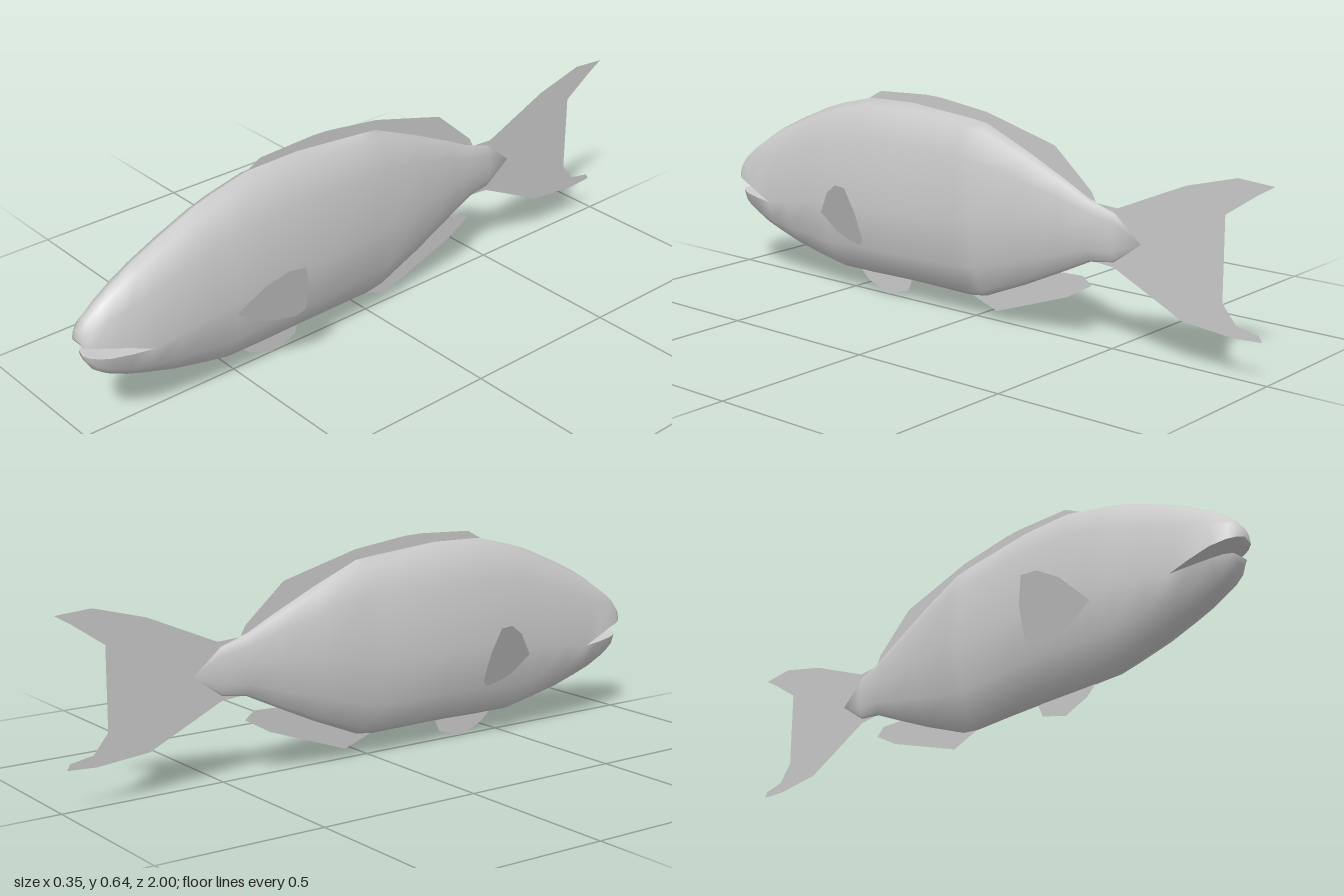
import * as THREE from 'three';
import { mergeGeometries, mergeVertices } from 'three/addons/utils/BufferGeometryUtils.js';

// Body stations from tail to mouth corner: z, top, mid, bottom, half width
const BODY = [
  [-0.59, 0.315, 0.315, 0.315, 0],
  [-0.50, 0.39, 0.32, 0.25, 0.014],
  [-0.42, 0.415, 0.325, 0.238, 0.027],
  [-0.33, 0.46, 0.325, 0.195, 0.039],
  [-0.19, 0.525, 0.32, 0.13, 0.062],
  [-0.04, 0.588, 0.31, 0.068, 0.08],
  [0.02, 0.595, 0.305, 0.06, 0.086],
  [0.25, 0.615, 0.30, 0.063, 0.1],
  [0.42, 0.612, 0.295, 0.06, 0.101],
  [0.54, 0.583, 0.285, 0.06, 0.098],
  [0.61, 0.561, 0.275, 0.074, 0.094],
  [0.72, 0.515, 0.257, 0.1, 0.087],
  [0.81, 0.473, 0.24, 0.13, 0.079],
];
// Upper jaw: z, top, lip, unused, half width
const UPPER_JAW = [
  [0.87, 0.438, 0.262, 0, 0.071],
  [0.93, 0.398, 0.282, 0, 0.06],
  [0.975, 0.362, 0.291, 0, 0.045],
  [0.995, 0.335, 0.295, 0, 0.03],
  [1.0, 0.305, 0.305, 0, 0],
];
// Lower jaw: z, unused, lip, bottom, half width
const LOWER_JAW = [
  [0.87, 0, 0.243, 0.15, 0.07],
  [0.93, 0, 0.248, 0.178, 0.057],
  [0.96, 0, 0.252, 0.2, 0.045],
  [0.98, 0, 0.255, 0.232, 0.028],
  [0.985, 0, 0.252, 0.252, 0],
];
const CORNER = BODY[BODY.length - 1];

// Half cross-sections: across fraction, height fraction from the mid line
const OVER = [[1, 0], [0.8, 0.635], [0.35, 0.937], [0, 1], [-0.35, 0.937], [-0.8, 0.635], [-1, 0]];
const UNDER = [[-1, 0], [-0.78, 0.59], [-0.35, 0.92], [0, 1], [0.35, 0.92], [0.78, 0.59], [1, 0]];
const ROOF = [[-1, 0], [0, 0], [1, 0]];
const FLOOR = [[1, 0], [0, 0], [-1, 0]];

// Skin the stations with one open arc, reaching to the column "edge"
function loft(stations, arc, edge) {
  const pos = [], index = [], n = arc.length;
  stations.forEach((s, i) => {
    for (const [u, v] of arc) pos.push(u * s[4], s[2] + (s[edge] - s[2]) * v, s[0]);
    if (i === 0) return;
    for (let j = 0; j < n - 1; j++) {
      const a = (i - 1) * n + j, b = a + n;
      index.push(a, a + 1, b, a + 1, b + 1, b);
    }
  });
  const g = new THREE.BufferGeometry();
  g.setAttribute('position', new THREE.Float32BufferAttribute(pos, 3));
  g.setIndex(index);
  return g;
}

// Flat fin in the z-y plane
function finGeometry(points) {
  const shape = new THREE.Shape(points.map(([z, y]) => new THREE.Vector2(z, y)));
  return new THREE.ShapeGeometry(shape).rotateY(-Math.PI / 2);
}

export function createModel() {
  const fish = new THREE.Group();
  fish.name = 'fish';
  const skin = new THREE.MeshStandardMaterial({ color: 0xcccccc });
  const thin = new THREE.MeshStandardMaterial({ color: 0xcccccc, side: THREE.DoubleSide });
  const add = (name, geometry, material) => {
    const mesh = new THREE.Mesh(geometry, material);
    mesh.name = name;
    fish.add(mesh);
    return mesh;
  };

  // Body with both jaws, welded along the flanks
  const body = mergeVertices(mergeGeometries([
    loft([...BODY, ...UPPER_JAW], OVER, 1),
    loft([...BODY, ...LOWER_JAW], UNDER, 3),
  ]), 1e-4);
  body.computeVertexNormals();
  add('body', body, skin);

  // Inside of the mouth
  const mouth = mergeGeometries([
    loft([CORNER, ...UPPER_JAW], ROOF, 1),
    loft([CORNER, ...LOWER_JAW], FLOOR, 3),
  ]);
  mouth.computeVertexNormals();
  add('mouth', mouth, thin);

  // Fins on the centre line
  add('tailFin', finGeometry([
    [-0.42, 0.41], [-0.51, 0.405], [-0.73, 0.5], [-0.89, 0.543], [-1, 0.535], [-0.95, 0.505],
    [-0.855, 0.44], [-0.855, 0.2], [-0.9, 0.145], [-0.97, 0.132], [-0.98, 0.115],
    [-0.89, 0.11], [-0.73, 0.125], [-0.5, 0.235], [-0.42, 0.242],
  ]), thin);
  add('dorsalFin', finGeometry([
    [0.44, 0.605], [0.38, 0.637], [0.2, 0.645], [0.14, 0.643], [-0.04, 0.62], [-0.29, 0.553],
    [-0.42, 0.44], [-0.435, 0.412], [-0.33, 0.44], [-0.04, 0.56], [0.25, 0.59],
  ]), thin);
  add('analFin', finGeometry([
    [0.04, 0.07], [-0.08, 0.028], [-0.34, 0.12], [-0.425, 0.168], [-0.395, 0.192],
    [-0.33, 0.19], [-0.28, 0.185], [-0.1, 0.12],
  ]), thin);
  add('pelvicFin', finGeometry([
    [0.48, 0.065], [0.44, 0.03], [0.36, 0], [0.275, 0.025], [0.26, 0.06], [0.35, 0.085],
  ]), thin);

  // Side fins, flared outwards towards the rear and the top
  const side = finGeometry([
    [0.55, 0.25], [0.48, 0.33], [0.42, 0.365], [0.37, 0.365], [0.345, 0.29],
    [0.338, 0.2], [0.36, 0.18], [0.42, 0.185], [0.48, 0.2],
  ]);
  const p = side.attributes.position;
  for (let i = 0; i < p.count; i++) {
    p.setX(i, 0.098 + 0.235 * (0.55 - p.getZ(i)) + 0.31 * (p.getY(i) - 0.245));
  }
  side.computeVertexNormals();
  add('leftPectoralFin', side, thin);
  add('rightPectoralFin', side, thin).scale.x = -1;

  return fish;
}
